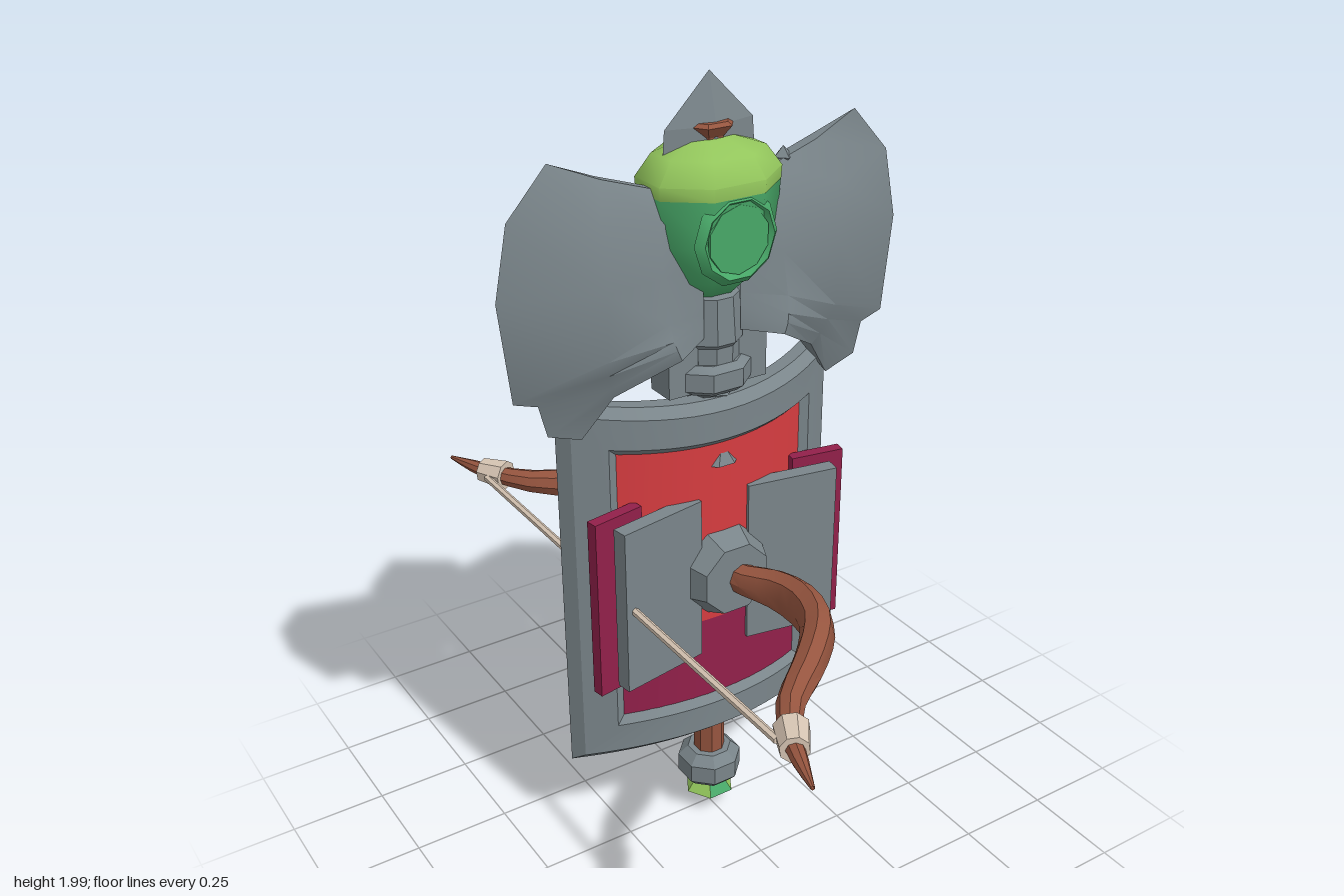
import * as THREE from 'three';
import { toCreasedNormals } from 'three/addons/utils/BufferGeometryUtils.js';
import { RoundedBoxGeometry } from 'three/addons/geometries/RoundedBoxGeometry.js';

const mat = (name, color) => Object.assign(new THREE.MeshStandardMaterial({ color, side: THREE.DoubleSide }), { name });
const steel = mat('steel', 0x7a858a);
const wood = mat('wood', 0x96553f);
const red = mat('red', 0xd63c40);
const magenta = mat('magenta', 0x92204a);
const green = mat('green', 0x48a868);
const lime = mat('lime', 0x93c65c);
const leather = mat('dark leather', 0x66564d);
const cream = mat('cream', 0xd8c6b4);

// Skin a list of equal rings of Vector3
function loft(rings) {
  const n = rings[0].length, pos = [], idx = [];
  rings.forEach(r => r.forEach(p => pos.push(p.x, p.y, p.z)));
  for (let i = 0; i < rings.length - 1; i++) for (let j = 0; j < n; j++) {
    const a = i * n + j, b = i * n + (j + 1) % n;
    idx.push(a, b, b + n, a, b + n, a + n);
  }
  const g = new THREE.BufferGeometry();
  g.setAttribute('position', new THREE.Float32BufferAttribute(pos, 3));
  g.setIndex(idx);
  return g;
}

// Faceted lathe with a flat side facing the front
function turned(profile, sides = 8) {
  const g = new THREE.LatheGeometry(profile.map(p => new THREE.Vector2(...p)), sides);
  return g.rotateY(Math.PI / sides);
}

// Curve a flat part to the shield: bowed forward, shorter in the middle
function bend(g) {
  const p = g.attributes.position;
  for (let i = 0; i < p.count; i++) {
    const t = (p.getX(i) / 0.38) ** 2;
    p.setY(i, 0.78 + (p.getY(i) - 0.78) * (1 - 0.07 * (1 - t)));
    p.setZ(i, p.getZ(i) - 0.125 * t);
  }
  return g;
}

// Rectangle outline with many points along its top and bottom
function rectLoop(hw, hh, z) {
  const side = s => Array.from({ length: 17 }, (_, i) => new THREE.Vector3(s * hw * (i / 8 - 1), 0.78 - s * hh, z));
  return [...side(1), ...side(-1)];
}

export function createModel() {
  const model = new THREE.Group();
  const add = (name, geo, material, x = 0, y = 0, z = 0, crease = 0.5) => {
    const m = new THREE.Mesh(toCreasedNormals(geo, crease), material);
    m.name = name;
    m.position.set(x, y, z);
    model.add(m);
    return m;
  };
  const box = (w, h, d) => new THREE.BoxGeometry(w, h, d);

  // Axe blades: rows of [edge, middle, root, inner] points, top to bottom
  const rows = [
    [[0.40, 1.86, 0], [0.28, 1.81, 0.015], [0.16, 1.77, 0.015], [0.05, 1.73, 0.02]],
    [[0.50, 1.75, 0], [0.31, 1.72, 0.06], [0.16, 1.70, 0.055], [0.05, 1.68, 0.05]],
    [[0.535, 1.58, 0], [0.31, 1.58, 0.08], [0.16, 1.58, 0.065], [0.05, 1.58, 0.05]],
    [[0.51, 1.34, 0], [0.31, 1.42, 0.075], [0.16, 1.48, 0.088], [0.05, 1.50, 0.055]],
    [[0.45, 1.32, 0], [0.30, 1.38, 0.06], [0.155, 1.44, 0.098], [0.05, 1.47, 0.055]],
    [[0.43, 1.24, 0], [0.29, 1.34, 0.045], [0.15, 1.42, 0.104], [0.05, 1.44, 0.055]],
    [[0.345, 1.21, 0], [0.275, 1.31, 0.03], [0.14, 1.395, 0.106], [0.05, 1.41, 0.055]],
  ];
  const blade = loft([3, 2, 1, 0].map(c => [
    ...rows.map(r => new THREE.Vector3(...r[c])),
    ...rows.map(r => new THREE.Vector3(r[c][0], r[c][1], -r[c][2])).reverse(),
  ]));
  add('leftBlade', blade, steel, 0, 0, 0, 0.6);
  add('rightBlade', blade.clone(), steel, 0, 0, 0, 0.6).rotation.y = Math.PI;
  add('bladeStud', new THREE.OctahedronGeometry(0.025), steel, 0.2, 1.78, 0);

  // Top spike
  const spike = new THREE.CylinderGeometry(0.115, 0.13, 0.2, 4).translate(0, -0.1, 0);
  add('spikeBase', spike, steel, 0, 1.885, 0).scale.set(1, 1, 0.25);
  add('spikeTip', new THREE.ConeGeometry(0.115, 0.115, 4), steel, 0, 1.9425, 0).scale.set(1, 1, 0.25);

  // Flask with cork and round windows
  const lower = turned([[0.065, 1.50], [0.125, 1.55], [0.163, 1.64], [0.172, 1.75]]);
  const upper = turned([[0.172, 1.75], [0.174, 1.78], [0.135, 1.83], [0.06, 1.855], [0, 1.86]]);
  add('flaskLower', lower, green, 0, 0, 0, 0.9).scale.z = 0.77;
  add('flaskUpper', upper, lime, 0, 0, 0, 0.9).scale.z = 0.78;
  add('cork', turned([[0.034, 1.83], [0.038, 1.86], [0.062, 1.885], [0.05, 1.893], [0, 1.893]], 6), wood).scale.z = 0.85;
  for (const s of [1, -1]) {
    add('flaskWindowRim', new THREE.TorusGeometry(0.092, 0.018, 4, 10), green, 0, 1.655, s * 0.108);
    const pane = new THREE.CylinderGeometry(0.08, 0.08, 0.008, 10).rotateX(Math.PI / 2);
    add('flaskWindow', pane, green, 0, 1.655, s * 0.118);
  }

  // Neck, collar and socket
  add('neck', turned([[0.07, 1.28], [0.07, 1.38], [0.078, 1.39], [0.07, 1.50], [0, 1.52]], 10), steel);
  add('collar', turned([[0, 1.265], [0.085, 1.265], [0.106, 1.28], [0.106, 1.325], [0.085, 1.34], [0, 1.34]]), steel).scale.z = 0.85;
  add('socket', box(0.27, 0.13, 0.08), steel, 0, 1.335, 0);

  // Twisted shaft behind the shield
  for (let i = 0; i < 4; i++) {
    const seg = turned([[0, -0.04], [0.045, -0.04], [0.068, 0.03], [0.05, 0.045], [0, 0.045]], 7);
    const m = add('twistedShaft', seg, steel, 0, 1.04 + i * 0.07, -0.01);
    m.rotation.set(0.1, i * 0.5, i % 2 ? 0.25 : -0.25);
  }
  add('shaftTip', turned([[0.045, 1.08], [0.02, 1.11], [0, 1.11]], 6), steel, 0, 0, 0.055).scale.z = 0.6;

  // Shield plate with slanted edges, bevelled frame and two-tone face
  const plate = new THREE.BoxGeometry(0.76, 1.02, 0.04, 16, 1, 1);
  const pp = plate.attributes.position;
  for (let i = 0; i < pp.count; i++) if (pp.getZ(i) < 0) pp.setX(i, pp.getX(i) * 0.93);
  add('shieldPlate', bend(plate.translate(0, 0.78, 0.04)), steel);
  const frame = loft([[0.38, 0.51, 0.06], [0.36, 0.485, 0.086], [0.285, 0.405, 0.086], [0.255, 0.38, 0.06]].map(a => rectLoop(...a)));
  add('shieldFrame', bend(frame), steel);
  const face = (y0, y1) => bend(new THREE.BoxGeometry(0.53, y1 - y0, 0.006, 12, 1, 1).translate(0, (y0 + y1) / 2, 0.063));
  add('shieldFaceTop', face(0.64, 1.17), red);
  add('shieldFaceBottom', face(0.39, 0.64), magenta);
  const boss = new THREE.CylinderGeometry(0.095, 0.125, 0.07, 8).rotateX(Math.PI / 2).rotateZ(Math.PI / 8);
  add('shieldBoss', boss, steel, 0, 0.785, 0.09);

  // Open book halves and spine
  for (const s of [1, -1]) {
    add('bookPages', box(0.24, 0.44, 0.04), steel, s * 0.19, 0.78, 0.073).rotation.y = -s * 0.17;
    add('bookCover', box(0.14, 0.48, 0.03), magenta, s * 0.29, 0.78, 0.042).rotation.y = -s * 0.17;
  }
  add('bookSpine', box(0.15, 0.48, 0.09), magenta, 0, 0.78, -0.012);

  // Strap, guard pads and rivets on the back
  for (const y of [0.69, 0.88]) {
    add('strapBand', turned([[0, -0.04], [0.1, -0.04], [0.105, 0], [0.1, 0.04], [0, 0.04]]), wood, 0, y, -0.02).scale.z = 0.7;
  }
  add('strapCore', box(0.17, 0.2, 0.1), wood, 0, 0.785, -0.018);
  for (const s of [1, -1]) {
    const pad = add('guardPad', new RoundedBoxGeometry(0.16, 0.09, 0.06, 2, 0.028), steel, s * 0.11, 0.965, -0.04);
    pad.rotation.z = s * 0.15;
    add('strapRivet', new THREE.SphereGeometry(0.018, 8, 6), steel, s * 0.1, 0.69, -0.045);
    add('spineRivet', new THREE.SphereGeometry(0.013, 6, 4), steel, s * 0.05, 0.59, -0.058);
  }

  // Handle, pommel and gem with alternating crown facets
  add('handle', turned([[0.041, 0.18], [0.04, 0.46], [0.06, 0.48], [0.05, 0.56], [0, 0.56]]), wood);
  add('pommel', turned([[0, 0.105], [0.065, 0.105], [0.084, 0.125], [0.084, 0.175], [0.058, 0.20], [0, 0.20]]), steel);
  add('gemTip', turned([[0, 0.01], [0.068, 0.065]], 6), green);
  const crown = [new THREE.Vector2(0.068, 0.065), new THREE.Vector2(0.035, 0.11)];
  for (let i = 0; i < 6; i++) {
    add('gemCrownFacet', new THREE.LatheGeometry(crown, 1, (i - 0.5) * Math.PI / 3, Math.PI / 3), i % 3 ? lime : green);
  }

  // Bow arms: path points [x, z, half-height, half-width], smoothed along the way
  const path = [
    [0, 0.06, 0.035, 0.035], [0.02, 0.14, 0.042, 0.036], [0.055, 0.21, 0.055, 0.037], [0.068, 0.30, 0.064, 0.039],
    [0.045, 0.39, 0.062, 0.041], [-0.01, 0.46, 0.054, 0.041], [-0.09, 0.53, 0.043, 0.039], [-0.185, 0.605, 0.031, 0.033],
    [-0.25, 0.70, 0.022, 0.024], [-0.28, 0.77, 0.017, 0.019], [-0.31, 0.855, 0.005, 0.005]];
  const up = new THREE.Vector3(0, 1, 0);
  for (const s of [1, -1]) {
    const curve = new THREE.CatmullRomCurve3(path.map(([x, z]) => new THREE.Vector3(x, 0.782, s * z)));
    const sizes = new THREE.CatmullRomCurve3(path.map(p => new THREE.Vector3(p[2], p[3], 0)));
    const rings = Array.from({ length: 21 }, (_, i) => {
      const p = curve.getPoint(i / 20), size = sizes.getPoint(i / 20);
      const n = up.clone().cross(curve.getTangent(i / 20)).normalize();
      return Array.from({ length: 8 }, (_, j) => {
        const a = j / 8 * Math.PI * 2;
        return p.clone().addScaledVector(n, Math.cos(a) * size.y).addScaledVector(up, Math.sin(a) * size.x);
      });
    });
    add('bowArm', loft(rings), wood, 0, 0, 0, 0.7);
    const ring = add('bowTipWrap', new THREE.CylinderGeometry(0.034, 0.042, 0.075, 8), cream, -0.25, 0.782, s * 0.705);
    ring.quaternion.setFromUnitVectors(up, new THREE.Vector3(-0.5, 0, s * 0.85).normalize());
  }
  add('bowString', new THREE.CylinderGeometry(0.01, 0.01, 1.38, 6).rotateX(Math.PI / 2), cream, -0.28, 0.782, 0, 1.2);

  // Leather grip joining the bow arms
  const grip = turned([[0, -0.05], [0.055, -0.05], [0.075, -0.025], [0.075, 0.025], [0.055, 0.05], [0, 0.05]], 10).rotateX(Math.PI / 2);
  add('bowGrip', grip, leather, 0, 0.782, -0.065).scale.x = 1.45;

  return model;
}
